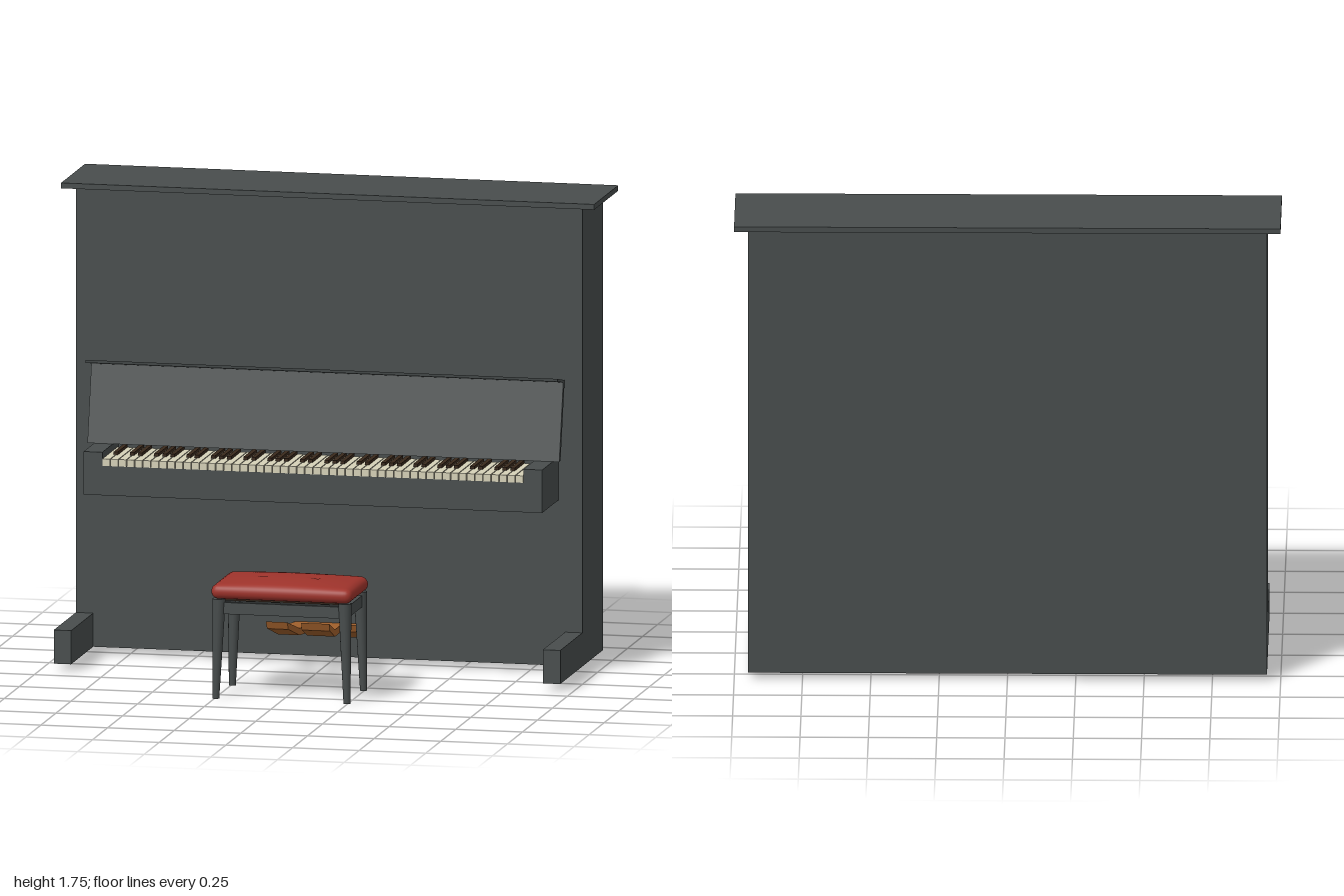
import * as THREE from 'three';
import { mergeVertices } from 'three/addons/utils/BufferGeometryUtils.js';

const material = (name, color, side = THREE.FrontSide) => {
  const m = new THREE.MeshStandardMaterial({ color, side });
  m.name = name;
  return m;
};

export function createModel() {
  const charcoal = material('charcoal lacquer', 0x484d4d, THREE.DoubleSide);
  const ivory = material('ivory', 0xd6d1b8);
  const darkBrown = material('dark brown', 0x3a291c);
  const copper = material('copper brown', 0xa0602c);
  const red = material('red leather', 0x9e332b);

  const model = new THREE.Group();
  model.name = 'uprightPianoWithStool';
  const group = (name) => {
    const g = new THREE.Group();
    g.name = name;
    model.add(g);
    return g;
  };
  const add = (parent, name, geometry, mat) => {
    const mesh = new THREE.Mesh(geometry, mat);
    mesh.name = name;
    parent.add(mesh);
    return mesh;
  };
  // Box given by its lower and upper limits on each axis
  const box = (parent, name, [x0, x1], [y0, y1], [z0, z1], mat) => {
    const g = new THREE.BoxGeometry(x1 - x0, y1 - y0, z1 - z0);
    g.translate((x0 + x1) / 2, (y0 + y1) / 2, (z0 + z1) / 2);
    return add(parent, name, g, mat);
  };
  // Side profile of [z, y] points, extruded across x
  const profile = (points, width) => {
    const shape = new THREE.Shape(points.map(([z, y]) => new THREE.Vector2(z, y)));
    const g = new THREE.ExtrudeGeometry(shape, { depth: width, bevelEnabled: false });
    return g.rotateY(-Math.PI / 2).translate(width / 2, 0, 0);
  };

  // Cabinet: a case open at the bottom, with an overhanging lid
  const cabinet = group('cabinet');
  const body = box(cabinet, 'case', [-0.95, 0.95], [0.025, 1.73], [-0.56, -0.22], charcoal);
  const faces = Array.from(body.geometry.index.array);
  faces.splice(18, 6); // the bottom face
  body.geometry.clearGroups();
  body.geometry.setIndex(faces);
  box(cabinet, 'lid', [-1, 1], [1.73, 1.75], [-0.595, -0.195], charcoal);
  for (const s of [-1, 1]) {
    const span = (a, b) => (s > 0 ? [a, b] : [-b, -a]);
    box(cabinet, 'foot', span(0.885, 0.95), [0.025, 0.15], [-0.22, 0.148], charcoal);
    box(cabinet, 'keyCheek', span(0.79, 0.86), [0.64, 0.8], [-0.22, 0.05], charcoal);
  }
  box(cabinet, 'keyBed', [-0.79, 0.79], [0.64, 0.75], [-0.22, 0.05], charcoal);

  // Leaning fallboard with its tilted lip
  add(cabinet, 'fallboard',
    profile([[-0.145, 0.8], [-0.124, 0.8], [-0.19, 1.085], [-0.211, 1.08]], 1.77), charcoal);
  add(cabinet, 'fallboardLip',
    profile([[-0.21, 1.08], [-0.208, 1.09], [-0.09, 1.115], [-0.092, 1.104]], 1.77), charcoal);

  // Keyboard: 52 white keys from A to C, black keys after A, C, D, F and G
  const keyboard = group('keyboard');
  const pitch = 1.58 / 52;
  for (let i = 0; i < 52; i++) {
    const x = -0.79 + i * pitch;
    box(keyboard, 'whiteKey', [x + 0.0015, x + pitch - 0.0015], [0.75, 0.776], [-0.2, 0.053], ivory);
    if (i < 51 && [0, 2, 3, 5, 6].includes(i % 7)) {
      box(keyboard, 'blackKey', [x + pitch - 0.008, x + pitch + 0.008],
        [0.776, 0.787], [-0.2, -0.04], darkBrown);
    }
  }

  // Pedals: bent levers that draw together toward the case
  const pedals = group('pedals');
  const lever = [[-0.22, 0.124], [-0.085, 0.124], [0.002, 0.16], [0.012, 0.188], [-0.085, 0.15], [-0.22, 0.15]];
  for (const cx of [-0.145, 0, 0.145]) {
    const g = profile(lever, cx === 0 ? 0.105 : 0.08);
    const p = g.attributes.position;
    for (let i = 0; i < p.count; i++) p.setX(i, p.getX(i) + cx * (1 + 1.8 * (p.getZ(i) - 0.01)));
    g.computeVertexNormals();
    add(pedals, 'pedal', g, copper);
  }

  // Stool frame: splayed, tapered legs joined by rails
  const stool = group('stool');
  stool.position.z = 0.437;
  for (const sx of [-1, 1]) {
    for (const sz of [-1, 1]) {
      const g = new THREE.CylinderGeometry(0.025, 0.013, 0.37, 12, 4);
      const p = g.attributes.position;
      for (let i = 0; i < p.count; i++) {
        const drop = 0.5 - p.getY(i) / 0.37;
        p.setX(i, p.getX(i) + sx * (0.236 + 0.01 * drop));
        p.setZ(i, p.getZ(i) + sz * (0.128 + 0.01 * drop));
      }
      g.translate(0, 0.185, 0);
      add(stool, 'stoolLeg', g, charcoal);
    }
    const z = sx * 0.13;
    box(stool, 'longRail', [-0.225, 0.225], [0.315, 0.358], [z - 0.01, z + 0.01], charcoal);
    const x = sx * 0.237;
    box(stool, 'shortRail', [x - 0.01, x + 0.01], [0.315, 0.358], [-0.12, 0.12], charcoal);
  }
  box(stool, 'seatBoard', [-0.24, 0.24], [0.364, 0.372], [-0.13, 0.13], darkBrown);

  // Cushion: a rounded block with a domed top and two tufted dimples
  const half = new THREE.Vector3(0.264, 0.027, 0.154);
  const radius = 0.026;
  const inner = half.clone().subScalar(radius);
  let pad = new THREE.BoxGeometry(half.x * 2, half.y * 2, half.z * 2, 48, 8, 28);
  const pos = pad.attributes.position;
  const v = new THREE.Vector3();
  const core = new THREE.Vector3();
  for (let i = 0; i < pos.count; i++) {
    v.fromBufferAttribute(pos, i);
    core.copy(v).clamp(inner.clone().negate(), inner);
    v.sub(core).setLength(radius).add(core);
    if (v.y > 0) {
      const dome = (1 - (v.x / half.x) ** 2) * (1 - (v.z / half.z) ** 2);
      const dimple = Math.exp(-((Math.abs(v.x) - 0.1) ** 2 + v.z ** 2) / 0.0004);
      v.y += (v.y / half.y) * (0.019 * dome - 0.006 * dimple);
    }
    pos.setXYZ(i, v.x, v.y, v.z);
  }
  pad.deleteAttribute('uv');
  pad.deleteAttribute('normal');
  pad = mergeVertices(pad, 1e-5);
  pad.clearGroups();
  pad.computeVertexNormals();
  add(stool, 'cushion', pad, red).position.y = 0.397;

  return model;
}
